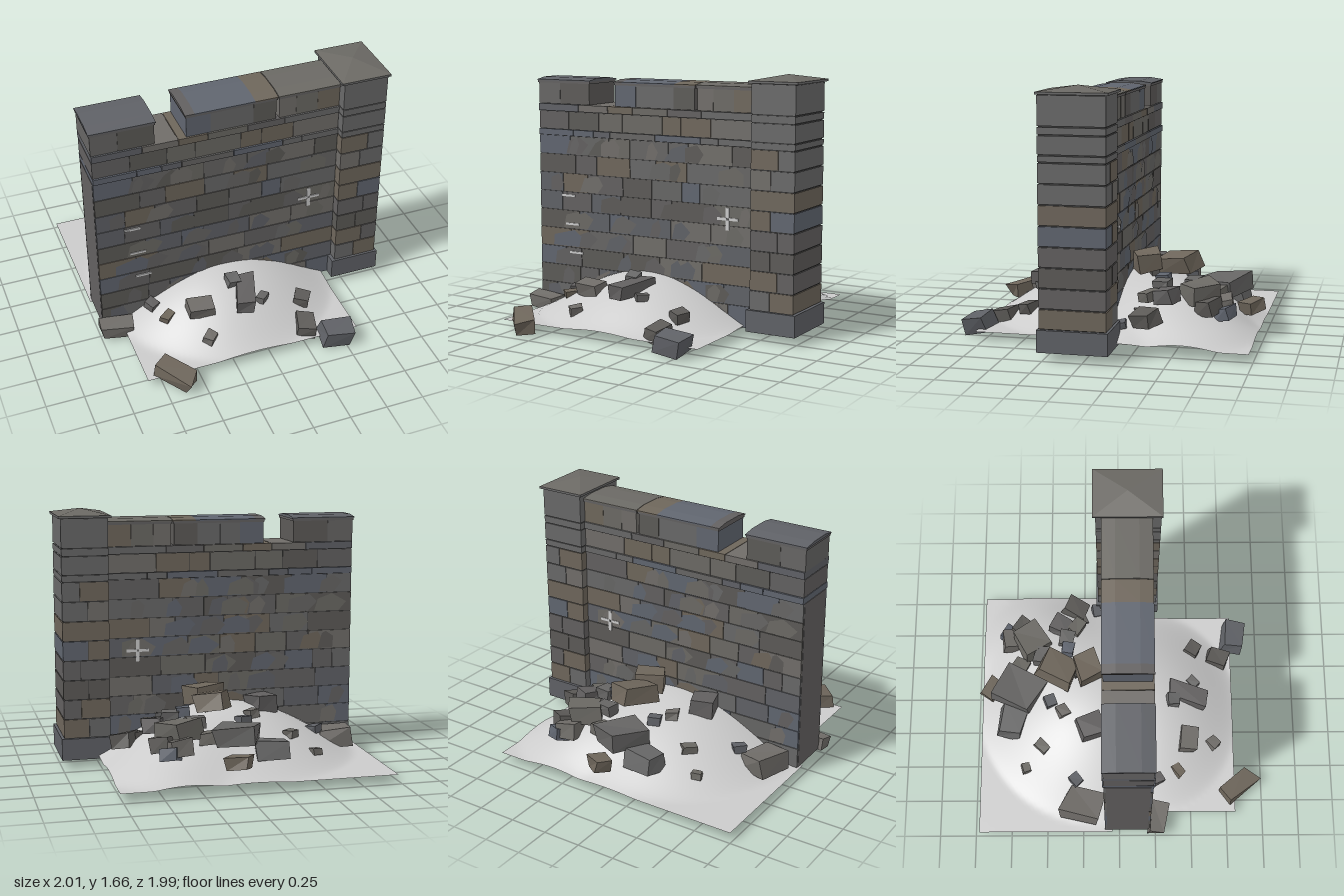
import * as THREE from 'three';

export function createModel() {
  const root = new THREE.Group();
  let seed = 11;
  const rnd = () => (seed = (seed * 16807) % 2147483647) / 2147483647;

  const mat = (color) => new THREE.MeshStandardMaterial({ color, flatShading: true });
  const stone = [0x686868, 0x6b6964, 0x5f6166, 0x706d69, 0x5c5a57, 0x626060, 0x666564, 0x60656f, 0x6e665b].map(mat);
  const [GREY, WARM, COOL, , DARK, MID, , BLUE, BROWN] = stone;
  const mortar = mat(0x383838), light = mat(0xcccccc);
  const pick = () => stone[Math.floor(rnd() * stone.length)];

  const part = (name) => {
    const g = new THREE.Group();
    g.name = name;
    root.add(g);
    return g;
  };
  // box given by its limits
  const block = (parent, name, x0, x1, y0, y1, z0, z1, m) => {
    const b = new THREE.Mesh(new THREE.BoxGeometry(x1 - x0, y1 - y0, z1 - z0), m);
    b.position.set((x0 + x1) / 2, (y0 + y1) / 2, (z0 + z1) / 2);
    b.name = name;
    parent.add(b);
  };

  // Wall: hollow shell with mortar panels, bricks of random length on both faces
  const wall = part('wall');
  const L = -0.97, R = 0.68, gap = 0.002;
  block(wall, 'frontMortar', L + 0.005, 0.7, 0.06, 1.425, 0.16, 0.204, mortar);
  block(wall, 'backMortar', L + 0.005, 0.7, 0.06, 1.425, -0.094, -0.05, mortar);
  block(wall, 'wallEnd', L, L + 0.02, 0.06, 1.215, -0.085, 0.195, MID);
  const courses = [0.06, 0.2];
  for (let i = 1; i < 9; i++) courses.push(0.2 + i * 0.127);
  const layCourse = (y0, y1, z0, z1, name) => {
    let x = L;
    while (x < R - 0.01) {
      let e = x + 0.13 + rnd() * 0.22;
      if (R - e < 0.12) e = R;
      block(wall, name, x + gap, e - gap, y0 + gap, y1 - gap, z0, z1, pick());
      x = e;
    }
  };
  for (let i = 0; i < courses.length - 1; i++) {
    layCourse(courses[i], courses[i + 1], 0.15, 0.21, 'frontBrick');
    layCourse(courses[i], courses[i + 1], -0.1, -0.04, 'backBrick');
  }
  layCourse(1.215, 1.26, -0.108, 0.218, 'lowerLedgeStone');
  layCourse(1.26, 1.38, -0.1, 0.21, 'parapetBrick');
  layCourse(1.38, 1.43, -0.108, 0.218, 'upperLedgeStone');

  // Irregular flush patches that vary the stone colours
  for (let i = 0; i < 110; i++) {
    const row = Math.floor(rnd() * (courses.length - 1));
    const h = courses[row + 1] - courses[row] - 0.012;
    const w = 0.08 + rnd() * 0.15, x = L + 0.01 + rnd() * (R - L - w - 0.02);
    const s = new THREE.Shape();
    s.moveTo(0, 0);
    s.lineTo(w * (0.6 + 0.4 * rnd()), 0);
    s.lineTo(w, h * (0.4 + 0.3 * rnd()));
    s.lineTo(w * (0.5 + 0.3 * rnd()), h);
    s.lineTo(w * 0.3 * rnd(), h * (0.6 + 0.3 * rnd()));
    const p = new THREE.Mesh(new THREE.ShapeGeometry(s), pick());
    p.name = 'stonePatch';
    p.position.set(x, courses[row] + 0.006, 0.2115 + i * 0.00001);
    if (i % 2) {
      p.rotation.y = Math.PI;
      p.position.x += w;
      p.position.z = -0.1015 - i * 0.00001;
    }
    wall.add(p);
  }

  // Merlons: stones of different shades under slightly crowned caps
  const battlements = part('battlements');
  const crown = new THREE.Shape();
  crown.moveTo(-0.109, 1.585);
  crown.lineTo(0.217, 1.585);
  crown.lineTo(0.217, 1.592);
  crown.lineTo(0.13, 1.605);
  crown.lineTo(-0.022, 1.605);
  crown.lineTo(-0.109, 1.592);
  const capStone = (x0, x1, m) => {
    const g = new THREE.ExtrudeGeometry(crown, { depth: x1 - x0, bevelEnabled: false });
    const c = new THREE.Mesh(g.rotateY(-Math.PI / 2).translate(x1, 0, 0), m);
    c.name = 'merlonCap';
    battlements.add(c);
  };
  const merlon = (x0, x1, count) => {
    let x = x0;
    for (let i = 1; i <= count; i++) {
      const e = i === count ? x1 : x0 + (x1 - x0) * (i - 0.2 + 0.3 * rnd()) / count;
      block(battlements, 'merlonStone', x, e - 0.001, 1.43, 1.572, -0.1, 0.208, pick());
      x = e;
    }
    block(battlements, 'merlonCapUnderside', x0 - 0.005, x1 + 0.005, 1.57, 1.587, -0.105, 0.213, MID);
  };
  merlon(-0.97, -0.56, 2);
  merlon(-0.355, 0.245, 4);
  merlon(0.265, 0.68, 3);
  capStone(-0.979, -0.551, COOL);
  capStone(-0.364, -0.3, MID);
  capStone(-0.3, 0.1, BLUE);
  capStone(0.1, 0.254, BROWN);
  capStone(0.258, 0.68, WARM);

  // Pillar: base, stacked courses split on alternate sides, pyramid cap
  const pillar = part('pillar');
  block(pillar, 'pillarCore', 0.685, 0.975, 0.07, 1.62, -0.14, 0.267, mortar);
  block(pillar, 'pillarBase', 0.66, 1.0, 0.06, 0.2, -0.16, 0.285, COOL);
  const rows = [...courses.slice(1), 1.26, 1.38, 1.43, 1.62];
  const tints = [BROWN, MID, DARK, MID, BLUE, BROWN];
  for (let i = 0; i < rows.length - 1; i++) {
    const xs = i < 8 && i !== 5 ? [0.68, i % 2 ? 0.87 : 0.82, 0.985] : [0.68, 0.985];
    for (let k = 0; k < xs.length - 1; k++) {
      block(pillar, 'pillarStone', xs[k] + gap, xs[k + 1] - gap, rows[i] + 0.004, rows[i + 1] - 0.004,
        -0.147, 0.273, k === xs.length - 2 ? tints[i] ?? GREY : pick());
    }
  }
  block(pillar, 'pillarCapSlab', 0.663, 1.0, 1.62, 1.635, -0.165, 0.282, GREY);
  const cap = new THREE.Mesh(new THREE.ConeGeometry(Math.SQRT1_2, 0.035, 4, 1).rotateY(Math.PI / 4), WARM);
  cap.name = 'pillarCapPyramid';
  cap.scale.set(0.337, 1, 0.447);
  cap.position.set(0.8315, 1.6525, 0.0585);
  pillar.add(cap);

  // Pale cross and slits
  const marks = part('wallOpenings');
  for (const [z0, z1] of [[0.19, 0.216], [-0.106, -0.08]]) {
    block(marks, 'crossBar', 0.415, 0.565, 0.742, 0.76, z0, z1, light);
    block(marks, 'crossUpright', 0.478, 0.502, 0.68, 0.825, z0, z1, light);
    block(marks, 'crossCentre', 0.483, 0.497, 0.744, 0.758, z0 - 0.002, z1 + 0.002, GREY);
  }
  for (let i = 0; i < 3; i++) {
    const x = -0.785 + i * 0.03, y = 0.81 - i * 0.195;
    block(marks, 'wallSlit', x, x + 0.105, y - 0.007, y + 0.007, 0.2, 0.217, light);
  }

  // Earth mounds: sheets raised into soft domes against the wall
  const dome = (x, z, cx, cz, rx, rz, h) => {
    const r2 = ((x - cx) / rx) ** 2 + ((z - cz) / rz) ** 2;
    return r2 < 1 ? h * (1 - r2) ** 1.35 : 0;
  };
  const frontHeight = (x, z) => 0.06 + dome(x, z, -0.11, 0.2, 0.76, 0.65, 0.29);
  const backHeight = (x, z) => 0.06 + Math.hypot(
    dome(x, z, -0.06, -0.15, 0.88, 0.86, 0.335), dome(x, z, 0.34, -0.55, 0.5, 0.48, 0.17));
  const earth = new THREE.MeshStandardMaterial({ color: 0xcccccc, side: THREE.DoubleSide });
  const sheet = (name, x0, x1, z0, z1, height) => {
    const g = new THREE.PlaneGeometry(x1 - x0, z1 - z0, 48, 36).rotateX(-Math.PI / 2);
    g.translate((x0 + x1) / 2, 0, (z0 + z1) / 2);
    const p = g.attributes.position;
    for (let i = 0; i < p.count; i++) p.setY(i, height(p.getX(i), p.getZ(i)));
    g.computeVertexNormals();
    const m = new THREE.Mesh(g, earth);
    m.name = name;
    root.add(m);
  };
  sheet('frontMound', -0.845, 0.61, 0.19, 0.81, frontHeight);
  sheet('backMound', -0.985, 0.765, -0.975, -0.05, backHeight);

  // Rubble: boxes with shifted corners, resting on the mounds
  const rubble = part('rubble');
  const chunk = (x, z, w, d, turn, lift = 0) => {
    const h = Math.min(0.14, 0.75 * Math.min(w, d));
    const g = new THREE.BoxGeometry(w, h, d);
    const p = g.attributes.position;
    const shift = Array.from({ length: 8 }, () => 0.7 + 0.3 * rnd());
    for (let i = 0; i < p.count; i++) {
      const c = (p.getX(i) > 0) + 2 * (p.getY(i) > 0) + 4 * (p.getZ(i) > 0);
      p.setXYZ(i, p.getX(i) * shift[c], p.getY(i) * shift[7 - c], p.getZ(i) * shift[(c + 3) % 8]);
    }
    g.computeVertexNormals();
    const b = new THREE.Mesh(g, pick());
    b.name = 'rubbleStone';
    b.rotation.set(0.08 + 0.14 * rnd(), turn, -0.12 * rnd());
    b.position.set(x, (z > 0 ? frontHeight(x, z) : backHeight(x, z)) + h * 0.2 + lift, z);
    rubble.add(b);
  };

  // Large stones at the front: x, z, width, depth, turn
  [[-0.89, 0.27, 0.24, 0.13, -0.12], [-0.66, 0.83, 0.3, 0.15, -0.9], [0.45, 0.83, 0.22, 0.17, -0.1],
    [0.28, 0.71, 0.14, 0.17, -0.3], [-0.37, 0.48, 0.21, 0.14, -0.1], [-0.06, 0.48, 0.13, 0.31, -0.3],
    [0.32, 0.53, 0.12, 0.12, -0.5]].forEach((s) => chunk(...s));

  // Large stones at the back, two of them stacked higher
  [[-0.81, -0.26, 0.24, 0.3, -0.3], [-0.22, -0.75, 0.24, 0.2, -0.2], [-0.02, -0.7, 0.3, 0.34, -0.45, 0.05],
    [0.07, -0.42, 0.23, 0.31, -0.4, 0.08], [0.08, -0.22, 0.22, 0.19, 0.4, 0.06], [-0.32, -0.2, 0.18, 0.2, 0.3],
    [0.33, -0.61, 0.24, 0.24, 0.6, 0.03], [0.02, -0.9, 0.17, 0.13, -0.6, 0.06], [0.45, -0.41, 0.15, 0.16, -0.4, 0.03],
    [0.62, -0.31, 0.15, 0.19, -0.5, 0.03]].forEach((s) => chunk(...s));

  // Heap of middling stones on the back right slope: x, z, size
  [[0.21, -0.55, 0.15], [0.36, -0.75, 0.16], [0.42, -0.78, 0.13], [0.45, -0.68, 0.15], [0.15, -0.7, 0.14],
    [0.34, -0.37, 0.13], [0.44, -0.3, 0.13], [0.25, -0.36, 0.1]].forEach(([x, z, s]) =>
    chunk(x, z, s, s * (0.7 + 0.4 * rnd()), rnd() - 0.6, 0.03));

  // Small scattered stones
  [[-0.37, 0.66], [-0.11, 0.38], [0.04, 0.52], [-0.64, 0.26], [-0.58, 0.41], [-0.55, -0.65], [-0.42, -0.54],
    [-0.12, -0.48], [-0.2, -0.39], [-0.65, -0.3], [0.08, -0.28], [0.53, -0.26], [0.62, -0.16]].forEach(([x, z]) =>
    chunk(x, z, 0.07 + 0.04 * rnd(), 0.06 + 0.04 * rnd(), rnd()));

  // Slabs buried under the mounds
  block(rubble, 'buriedSlab', 0.03, 0.2, 0.025, 0.09, 0.33, 0.48, MID);
  block(rubble, 'buriedSlab', 0.08, 0.32, 0.03, 0.09, -0.5, -0.23, MID);

  return root;
}
